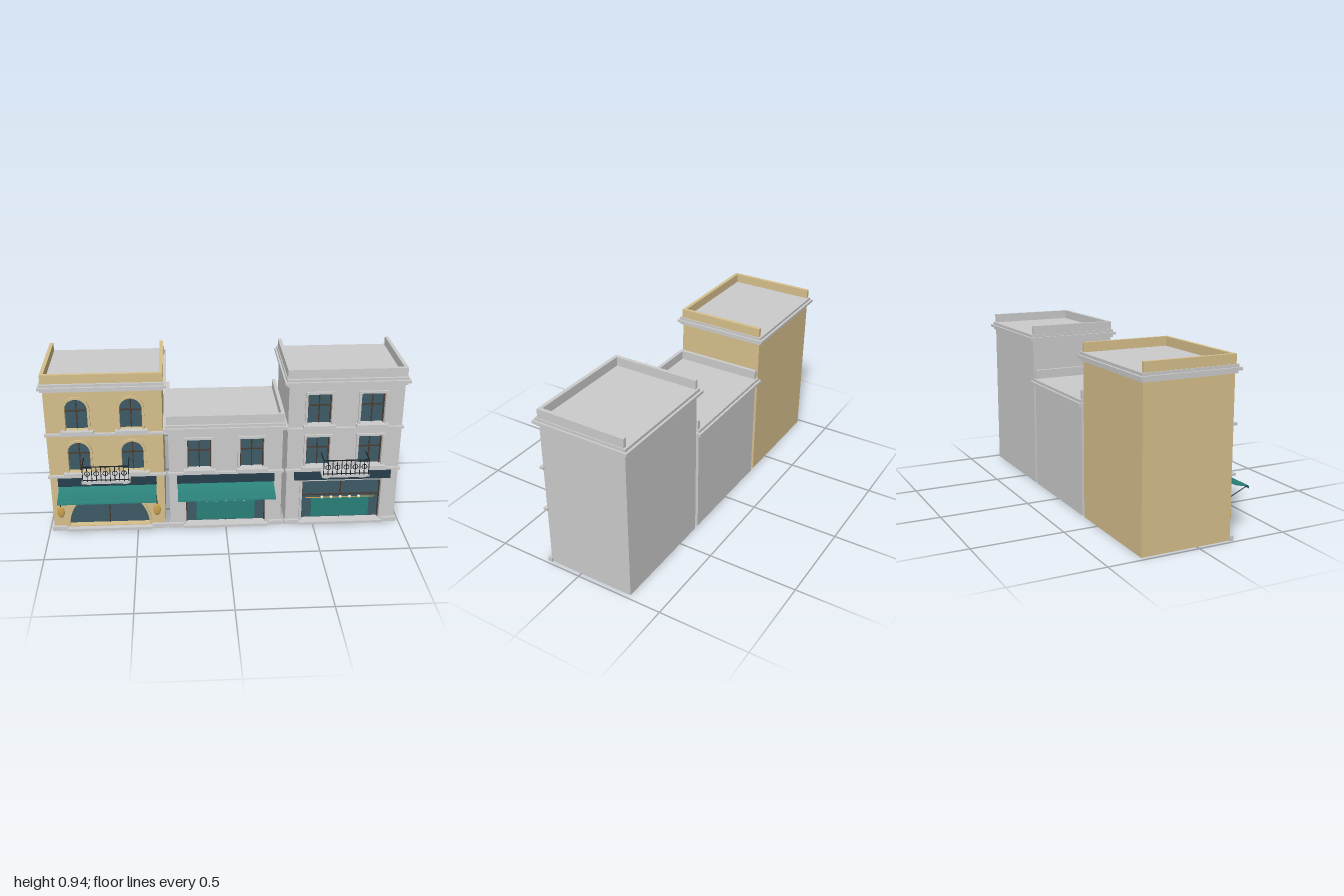
import * as THREE from 'three';

const mat = (color, side = THREE.FrontSide) => new THREE.MeshStandardMaterial({ color, side });
const grey = mat(0xcccccc), tan = mat(0xd6bf8c), glass = mat(0x3d5a66), sign = mat(0x263f4c);
const teal = mat(0x2a8078, THREE.DoubleSide), iron = mat(0x1c2226), wood = mat(0x4a3a30);
const gold = mat(0xc9a04e), ivory = mat(0xeee6d2);
const FACE = 0.193, BACK = -0.31, REVEAL = 0.163;

function add(group, name, geometry, material, x = 0, y = 0, z = 0) {
  const mesh = new THREE.Mesh(geometry, material);
  mesh.name = name;
  mesh.position.set(x, y, z);
  group.add(mesh);
  return mesh;
}

// Box given by centre x, width, bottom and top, back and front
function box(group, name, material, x, w, y0, y1, z0, z1) {
  return add(group, name, new THREE.BoxGeometry(w, y1 - y0, z1 - z0), material, x, (y0 + y1) / 2, (z0 + z1) / 2);
}

// Rectangular or round-headed outline
function outline(C, o, grow = 0) {
  const h = o.half + grow, y1 = o.y1 + grow, s = new C();
  s.moveTo(o.x - h, o.y0);
  s.lineTo(o.x + h, o.y0);
  if (o.arch) {
    s.lineTo(o.x + h, y1 - h);
    s.absarc(o.x, y1 - h, h, 0, Math.PI, false);
  } else {
    s.lineTo(o.x + h, y1);
    s.lineTo(o.x - h, y1);
  }
  s.lineTo(o.x - h, o.y0);
  return s;
}

const extrude = (shape, depth) => new THREE.ExtrudeGeometry(shape, { depth, bevelEnabled: false, curveSegments: 20 });

// Glazing, glazing bars and raised surround of one opening
function opening(g, o, name, wall, transom) {
  const trim = o.arch ? wall : grey;
  add(g, name + 'Glass', extrude(outline(THREE.Shape, o), 0.005), glass, 0, 0, REVEAL);
  const ring = outline(THREE.Shape, o, 0.013);
  ring.holes.push(outline(THREE.Path, o));
  add(g, name + 'Surround', extrude(ring, 0.012), trim, 0, 0, FACE);
  box(g, name + 'Mullion', wood, o.x, 0.006, o.y0, o.y1, 0.167, 0.175);
  const w = o.arch && o.half > 0.1 ? 2 * Math.sqrt(o.half ** 2 - (transom - o.y1 + o.half) ** 2) : 2 * o.half;
  box(g, name + 'Transom', wood, o.x, w, transom - 0.003, transom + 0.003, 0.167, 0.175);
  if (!o.arch) for (const s of [-1, 1]) {
    box(g, name + 'FrameSide', wood, o.x + s * (o.half - 0.003), 0.006, o.y0, o.y1, 0.167, 0.178);
  }
}

function balcony(g) {
  box(g, 'balconySlab', grey, 0, 0.264, 0.345, 0.36, FACE, 0.298);
  for (const s of [-1, 1]) {
    box(g, 'balconyBracket', grey, s * 0.1, 0.022, 0.31, 0.345, FACE, 0.243);
    box(g, 'sideRail', iron, s * 0.125, 0.005, 0.447, 0.452, FACE, 0.298);
  }
  box(g, 'frontRail', iron, 0, 0.255, 0.447, 0.452, 0.293, 0.298);
  box(g, 'lowerRail', iron, 0, 0.255, 0.366, 0.37, 0.294, 0.298);
  for (let i = 0; i <= 10; i++) {
    const x = -0.125 + i * 0.025;
    box(g, 'baluster', iron, x, 0.004, 0.36, 0.45, 0.294, 0.298);
    if (i % 2) add(g, 'scroll', new THREE.TorusGeometry(0.014, 0.002, 5, 16), iron, x, 0.408, 0.296);
  }
}

function awning(g) {
  // Sagging cloth, ending in a short valance
  const top = new THREE.QuadraticBezierCurve(
    new THREE.Vector2(0.205, 0.292), new THREE.Vector2(0.25, 0.256), new THREE.Vector2(0.33, 0.254));
  const line = [...top.getPoints(10), new THREE.Vector2(0.333, 0.238)];
  const cloth = new THREE.PlaneGeometry(0.54, 1, 1, line.length - 1);
  const p = cloth.attributes.position;
  for (let i = 0; i < p.count; i++) {
    const q = line[Math.floor(i / 2)];
    p.setXYZ(i, p.getX(i), q.y, q.x);
  }
  cloth.computeVertexNormals();
  add(g, 'awningCloth', cloth, teal);
  for (const s of [-1, 1]) {
    const path = new THREE.LineCurve3(new THREE.Vector3(s * 0.262, 0.196, 0.2), new THREE.Vector3(s * 0.262, 0.252, 0.328));
    add(g, 'awningArm', new THREE.TubeGeometry(path, 1, 0.002, 6), iron);
  }
}

function lantern(g, x) {
  box(g, 'lanternRod', iron, x, 0.004, 0.155, 0.208, 0.211, 0.215);
  box(g, 'lanternHook', iron, x, 0.004, 0.202, 0.208, FACE, 0.215);
  add(g, 'lantern', new THREE.SphereGeometry(1, 20, 14), gold, x, 0.125, 0.213).scale.set(0.021, 0.036, 0.008);
}

// Half-height shop curtain hung on a rod
function curtain(g) {
  box(g, 'curtain', teal, 0, 0.332, 0.03, 0.147, 0.17, 0.18);
  box(g, 'curtainRod', gold, 0, 0.4, 0.151, 0.155, 0.176, 0.18);
  for (let i = -2; i <= 2; i++) {
    add(g, 'curtainKnob', new THREE.SphereGeometry(0.009, 12, 8), ivory, i * 0.053, 0.156, 0.182);
  }
}

function building(name, x, { wall, floors, arched, hasBalcony, hasAwning }) {
  const g = new THREE.Group();
  g.name = name;
  g.position.x = x;
  const roof = floors === 2 ? 0.64 : 0.895;

  // Openings
  const shop = arched ? { x: 0, y0: 0.028, y1: 0.256, half: 0.225, arch: true }
    : { x: 0, y0: 0.02, y1: 0.275, half: 0.225 };
  const windows = [];
  for (let f = 0; f < floors - 1; f++) for (const s of [-1, 1]) {
    const y = f * 0.255;
    windows.push({ x: s * 0.146, y0: 0.37 + y, y1: (arched ? 0.552 : 0.55) + y, half: arched ? 0.06 : 0.066, arch: arched });
  }

  // Walls
  const W = 0.632;
  box(g, 'body', wall, 0, W, 0, roof - 0.01, BACK, REVEAL);
  const front = outline(THREE.Shape, { x: 0, y0: 0, y1: roof - 0.01, half: W / 2 });
  for (const o of [shop, ...windows]) front.holes.push(outline(THREE.Path, o));
  add(g, 'frontWall', extrude(front, FACE - REVEAL), wall, 0, 0, REVEAL);

  // Windows and sills
  opening(g, shop, 'shop', wall, 0.17);
  for (const o of windows) {
    opening(g, o, 'window', wall, o.y0 + 0.105);
    box(g, 'windowSill', grey, o.x, 0.176, o.y0 - 0.013, o.y0, FACE, 0.224);
  }

  // Plinth, step and string courses
  for (const s of [-1, 1]) box(g, 'plinth', grey, s * 0.283, 0.086, 0, 0.025, 0.187, 0.21);
  box(g, 'doorStep', grey, 0, 0.48, 0, 0.016, FACE, 0.222);
  for (let f = 0; f < floors - 1; f++) {
    const y = 0.338 + f * 0.255;
    box(g, 'stringCourse', grey, 0, 0.65, y, y + 0.013, 0.187, 0.21);
  }

  // Stepped cornice, carried round the building
  box(g, 'corniceLower', grey, 0, 0.656, roof - 0.045, roof - 0.03, -0.32, 0.204);
  box(g, 'corniceMiddle', grey, 0, 0.682, roof - 0.03, roof - 0.015, -0.335, 0.218);
  box(g, 'corniceUpper', grey, 0, 0.66, roof - 0.015, roof, -0.322, 0.206);

  // Parapet, open at the back
  box(g, 'parapetFront', wall, 0, 0.65, roof, roof + 0.05, FACE - 0.02, FACE);
  for (const s of [-1, 1]) box(g, 'parapetSide', wall, s * 0.315, 0.02, roof, roof + 0.05, BACK, FACE - 0.02);

  // Shop fittings
  box(g, 'signBoard', sign, 0, 0.545, 0.287, 0.337, FACE, 0.215);
  if (hasAwning) awning(g);
  if (hasBalcony) balcony(g);
  if (arched) for (const s of [-1, 1]) lantern(g, s * 0.27);
  else curtain(g);
  return g;
}

export function createModel() {
  const model = new THREE.Group();
  model.name = 'shopRow';
  model.add(
    building('archedShop', -0.659, { wall: tan, floors: 3, arched: true, hasBalcony: true, hasAwning: true }),
    building('lowShop', 0, { wall: grey, floors: 2, arched: false, hasBalcony: false, hasAwning: true }),
    building('tallShop', 0.659, { wall: grey, floors: 3, arched: false, hasBalcony: true, hasAwning: false }));
  return model;
}
